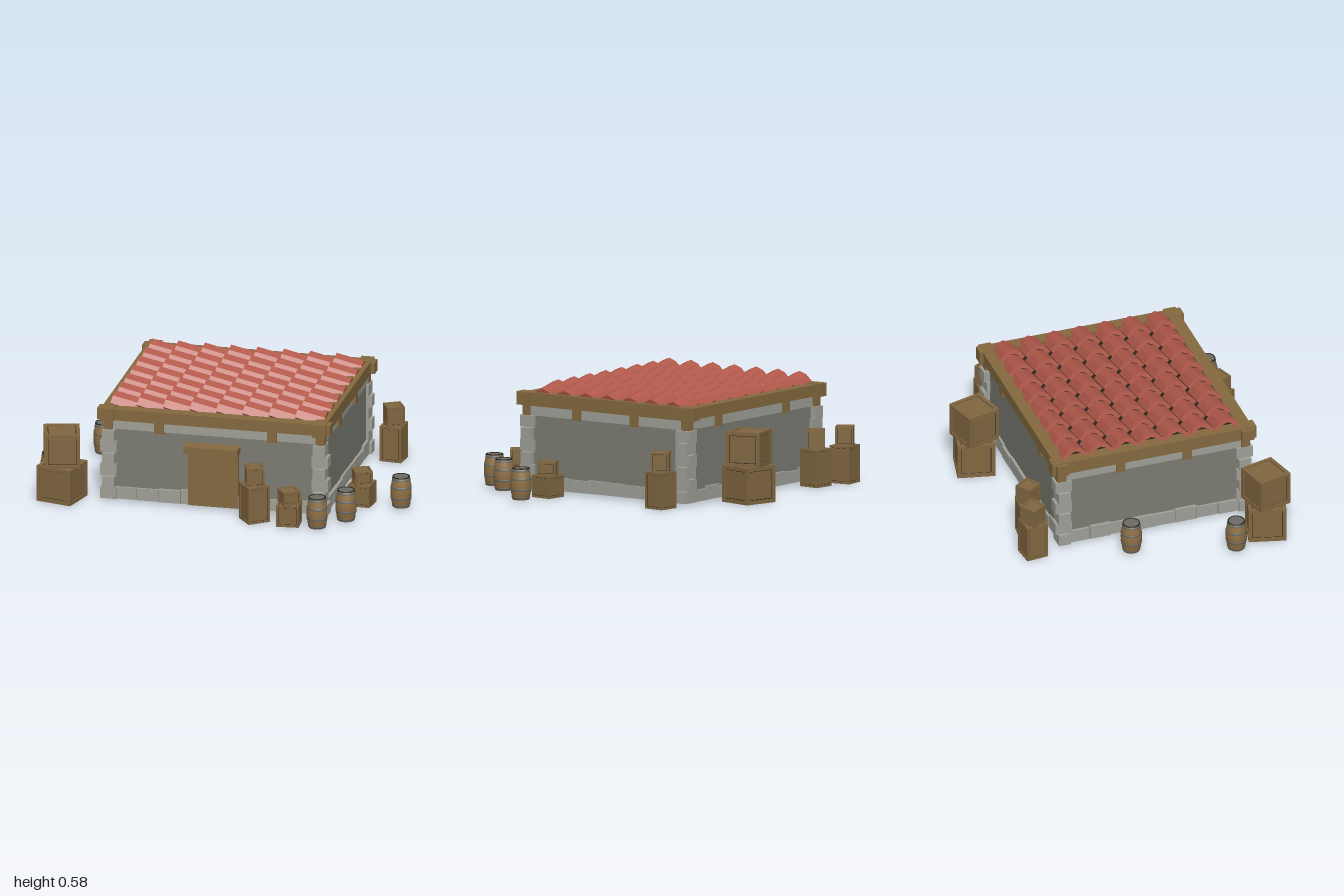
import * as THREE from 'three';

const mat = (name, color) => {
  const m = new THREE.MeshStandardMaterial({ color });
  m.name = name;
  return m;
};

export function createModel() {
  const M = {
    wall: mat('plaster grey', 0x7c7c74),
    stone: mat('light stone', 0xa0a098),
    wood: mat('timber', 0x84693f),
    tile: mat('roof tile red', 0xb0584a),
    crate: mat('crate wood', 0x806640),
    dark: mat('dark gap', 0x2b261c),
    barrel: mat('barrel wood', 0x8f7044),
    hoop: mat('hoop grey', 0x6c6c64),
  };
  const root = new THREE.Group();
  root.name = 'storehouse';
  let seed = 7;
  const rand = () => (seed = (seed * 16807) % 2147483647) / 2147483647;

  // Box given by its min and max corners
  const box = (name, m, x0, x1, y0, y1, z0, z1, parent = root) => {
    const b = new THREE.Mesh(new THREE.BoxGeometry(x1 - x0, y1 - y0, z1 - z0), m);
    b.position.set((x0 + x1) / 2, (y0 + y1) / 2, (z0 + z1) / 2);
    b.name = name;
    parent.add(b);
    return b;
  };

  // House body, around its own centre
  const house = new THREE.Group();
  house.name = 'house';
  house.position.set(-0.017, 0, 0.02);
  root.add(house);
  const hx = 0.585, hz = 0.515;
  box('walls', M.wall, -hx, hx, 0.015, 0.4, -hz, hz, house);
  box('upperStoneBand', M.stone, -hx - 0.004, hx + 0.004, 0.4, 0.458, -hz - 0.004, hz + 0.004, house);

  // Foundation stones along each wall
  const doorL = -0.138, doorR = 0.132;
  for (const s of [-1, 1]) {
    for (let i = 0; i < 9; i++) {
      const x0 = -0.54 + i * 0.12, x1 = x0 + 0.117, out = hz + 0.008 + rand() * 0.01;
      const top = 0.075 + rand() * 0.02;
      const a = s > 0 && x0 < doorR && x1 > doorR ? doorR : x0;
      const b = s > 0 && x0 < doorL && x1 > doorL ? doorL : x1;
      if (s > 0 && a >= doorL && b <= doorR) continue;
      box('foundationStone', M.stone, a, b, 0.015, top, s > 0 ? hz - 0.03 : -out, s > 0 ? out : 0.03 - hz, house);
    }
    for (let i = 0; i < 8; i++) {
      const z0 = -0.476 + i * 0.119, out = hx + 0.008 + rand() * 0.01;
      box('foundationStone', M.stone, s > 0 ? hx - 0.03 : -out, s > 0 ? out : 0.03 - hx,
        0.015, 0.075 + rand() * 0.02, z0, z0 + 0.116, house);
    }
  }

  // Corner quoins, long and short by turns
  for (const sx of [-1, 1]) for (const sz of [-1, 1]) for (let i = 0; i < 6; i++) {
    const w = i % 2 ? 0.066 : 0.09, d = i % 2 ? 0.09 : 0.066;
    const ox = hx + (i % 2 ? 0.016 : 0.03), oz = hz + (i % 2 ? 0.034 : 0.02);
    const q = box('cornerStone', M.stone, -w / 2, w / 2, 0.015 + i * 0.0645, 0.077 + i * 0.0645, -d / 2, d / 2, house);
    q.position.x = sx * (ox - w / 2);
    q.position.z = sz * (oz - d / 2);
  }

  // Crossing roof beams and short posts below them
  for (const s of [-1, 1]) {
    const bz = s * 0.515, bx = s * 0.572;
    box('longBeam', M.wood, -0.628, 0.628, 0.457, 0.518, bz - 0.034, bz + 0.034, house);
    box('crossBeam', M.wood, bx - 0.034, bx + 0.034, 0.453, 0.523, -0.568, 0.568, house);
    for (const x of [-0.298, 0.311])
      box('beamPost', M.wood, x - 0.025, x + 0.025, 0.395, 0.458, bz - 0.02, bz + 0.02, house);
    for (const z of [-0.185, 0.185])
      box('beamPost', M.wood, s * 0.582 - 0.02, s * 0.582 + 0.02, 0.395, 0.458, z - 0.025, z + 0.025, house);
    for (const t of [-1, 1])
      box('cornerPost', M.wood, bx - 0.024, bx + 0.024, 0.4, 0.458, t * 0.512 - 0.024, t * 0.512 + 0.024, house);
  }
  box('roofDeck', M.dark, -0.55, 0.55, 0.458, 0.49, -0.49, 0.49, house);

  // Door of planks with a lintel
  const door = new THREE.Group();
  door.name = 'door';
  root.add(door);
  box('doorBack', M.dark, -0.152, 0.112, 0.02, 0.32, 0.5, 0.548, door);
  for (let i = 0; i < 5; i++)
    box('doorPlank', M.wood, -0.155 + i * 0.054, -0.1025 + i * 0.054, 0.015, 0.322, 0.53, 0.56, door);
  box('lintel', M.wood, -0.167, 0.122, 0.318, 0.357, 0.52, 0.62, door);

  // Arched roof tiles, each tilted over the next
  const arch = new THREE.Shape([
    [-0.069, 0], [-0.04, 0.034], [0, 0.05], [0.04, 0.034], [0.069, 0],
    [0.054, -0.012], [0.03, 0.014], [0, 0.026], [-0.03, 0.014], [-0.054, -0.012],
  ].map(([x, y]) => new THREE.Vector2(x, y)));
  const tileGeo = new THREE.ExtrudeGeometry(arch, { depth: 0.152, bevelEnabled: false });
  tileGeo.rotateY(Math.PI / 2);
  const roof = new THREE.Group();
  roof.name = 'roofTiles';
  root.add(roof);
  for (let r = 0; r < 7; r++) for (let c = 0; c < 8; c++) {
    const t = new THREE.Mesh(tileGeo, M.tile);
    t.name = 'roofTile';
    t.position.set(-0.588 + c * 0.1423, 0.53, -0.407 + r * 0.1408);
    t.rotation.z = -0.22;
    roof.add(t);
  }

  // Crate: dark core, edge beams and raised boards on every face
  const crate = (w, h, x, y, z, ry) => {
    const g = new THREE.Group();
    g.name = 'crate';
    g.position.set(x, y + h / 2, z);
    g.rotation.y = ry;
    root.add(g);
    const a = w / 2, b = h / 2, t = w * 0.1, e = w * 0.035, gap = w * 0.02;
    box('crateCore', M.dark, -a + e, a - e, -b + e, b - e, -a + e, a - e, g);
    for (const s of [-1, 1]) for (const u of [-1, 1]) {
      const at = (m, px, py, pz) => m.position.set(px, py, pz);
      at(box('crateEdge', M.crate, -a, a, 0, t, 0, t, g), 0, s * (b - t / 2), u * (a - t / 2));
      at(box('crateEdge', M.crate, 0, t, 0, t, -a, a, g), s * (a - t / 2), u * (b - t / 2), 0);
      at(box('crateEdge', M.crate, 0, t, -b, b, 0, t, g), s * (a - t / 2), 0, u * (a - t / 2));
    }
    const k = a - t - gap, v = b - t - gap, p = a - e * 0.6, q = b - e * 0.6;
    box('crateBoardsFrontBack', M.crate, -k, k, -v, v, -p, p, g);
    box('crateBoardsSides', M.crate, -p, p, -v, v, -k, k, g);
    box('crateBoardsTopBottom', M.crate, -k, k, -q, q, -k, k, g);
  };

  // Stacks: x, z, lower width, lower height, lower turn, upper width, upper height, upper turn
  for (const [x, z, w, h, r, w2, h2, r2] of [
    [0.256, -0.675, 0.2, 0.195, -0.22, 0.188, 0.185, 0.27],
    [-0.835, 0.565, 0.2, 0.195, -0.25, 0.188, 0.185, 0.25],
    [-0.63, -0.66, 0.118, 0.2, 0.1, 0.095, 0.1, 0.55],
    [-0.43, -0.615, 0.118, 0.2, -0.1, 0.095, 0.1, 0.6],
    [0.72, -0.44, 0.118, 0.195, -0.1, 0.095, 0.105, 0.5],
    [0.23, 0.675, 0.122, 0.2, 0.65, 0.095, 0.1, 0.35],
    [0.42, 0.69, 0.12, 0.118, 0.08, 0.095, 0.072, 0.6],
    [0.72, 0.29, 0.12, 0.118, -0.1, 0.095, 0.072, 0.45],
  ]) {
    crate(w, h, x, 0.002, z, r);
    crate(w2, h2, x, h + 0.002, z, r2);
  }

  // Barrels with bulging staves, hoops and grey lids
  const radius = (y) => 0.056 - 0.012 * ((y - 0.0825) / 0.0825) ** 2;
  const lathe = (name, m, pts, g) => {
    const l = new THREE.Mesh(new THREE.LatheGeometry(pts.map(([x, y]) => new THREE.Vector2(x, y)), 16), m);
    l.name = name;
    g.add(l);
  };
  const staves = [0, 0.03, 0.06, 0.0825, 0.105, 0.135, 0.165].map((y) => [radius(y), y]);
  for (const [x, z] of [[-0.78, -0.165], [-0.943, 0.362], [0.935, 0.31], [0.703, 0.587], [0.582, 0.735]]) {
    const g = new THREE.Group();
    g.name = 'barrel';
    g.position.set(x, 0.012, z);
    root.add(g);
    lathe('staves', M.barrel, staves, g);
    lathe('bottomLid', M.hoop, [[0, 0], [0.044, 0]], g);
    lathe('topLid', M.hoop, [[0.044, 0.165], [0, 0.165]], g);
    for (const y of [0.004, 0.048, 0.105, 0.149]) {
      const r0 = radius(y) + 0.0015, r1 = radius(y + 0.012) + 0.0015;
      lathe('hoop', M.hoop, [[r0 - 0.004, y], [r0, y], [r1, y + 0.012], [r1 - 0.004, y + 0.012]], g);
    }
    lathe('rim', M.dark, [[0.044, 0.163], [0.047, 0.163], [0.046, 0.168], [0.041, 0.168], [0.041, 0.165]], g);
  }
  return root;
}
